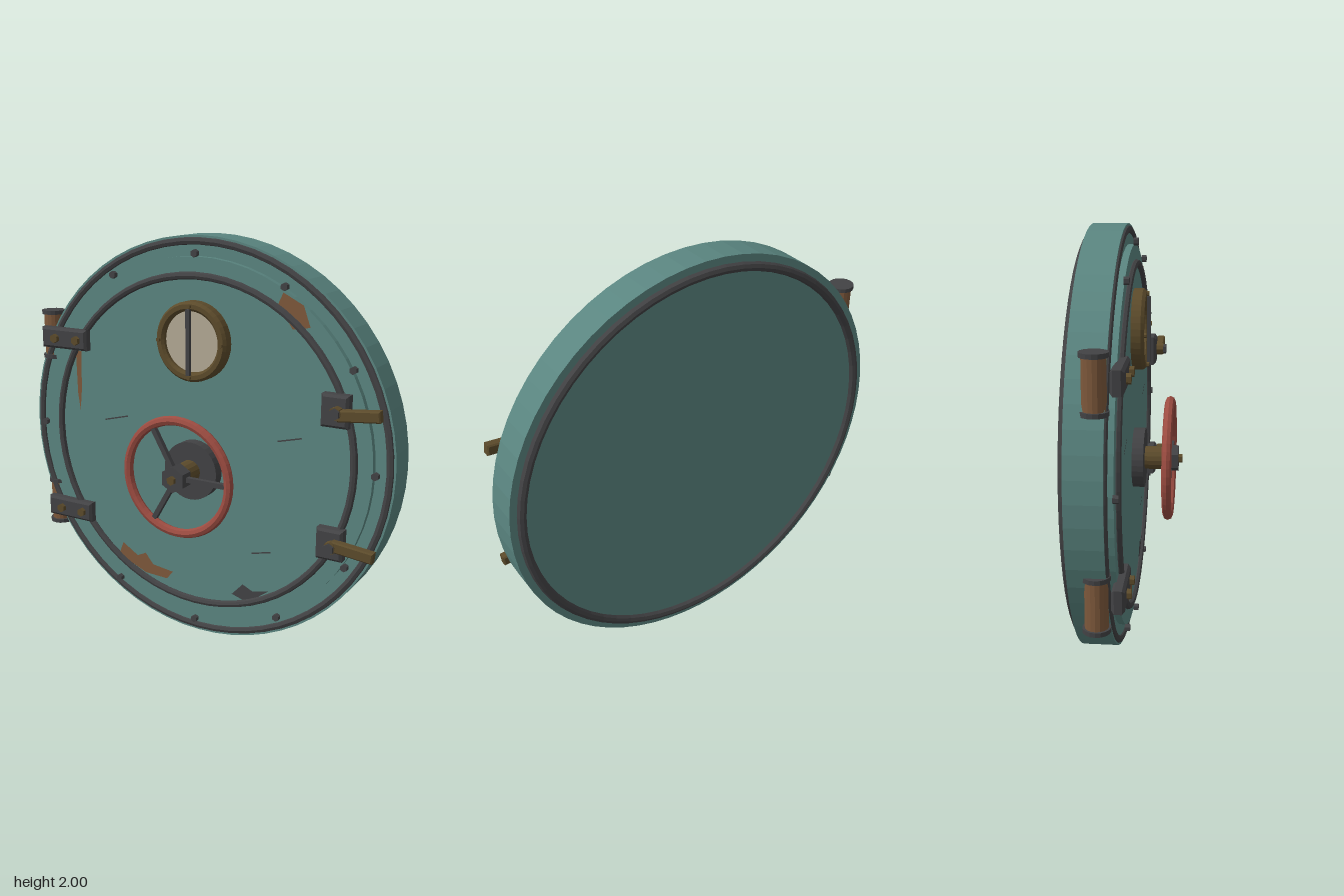
import * as THREE from 'three';

export function createModel() {
  const model = new THREE.Group();
  model.name = 'roundHatchDoor';

  const mat = (name, color, flat = false) => {
    const m = new THREE.MeshStandardMaterial({ color, flatShading: flat });
    m.name = name;
    return m;
  };
  const teal = mat('tealPaint', 0x5a8580, true);
  const iron = mat('darkIron', 0x424244, true);
  const brass = mat('agedBrass', 0x5c4b2b, true);
  const rust = mat('rust', 0x7d583b, true);
  const red = mat('redPaint', 0x9c4c41, true);
  const glass = mat('creamGlass', 0xb3a995, true);

  const add = (name, geo, material, x = 0, y = 0, z = 0, parent = model) => {
    const m = new THREE.Mesh(geo, material);
    m.name = name;
    m.position.set(x, y, z);
    parent.add(m);
    return m;
  };
  // Cylinder lying along z, between z0 and z1
  const disc = (name, r, z0, z1, sides, material, x, y, parent) =>
    add(name, new THREE.CylinderGeometry(r, r, z1 - z0, sides).rotateX(Math.PI / 2),
      material, x, y, (z0 + z1) / 2, parent);
  const ring = (name, r, tube, z, material, y = 1, sides = 8, steps = 64) =>
    add(name, new THREE.TorusGeometry(r, tube, sides, steps), material, 0, y, z);
  // Bevelled plate facing +z, between z0 and z1
  const plate = (name, w, h, z0, z1, material, x, y, bevel = 0.012) => {
    const a = w / 2 - bevel, b = h / 2 - bevel;
    const s = new THREE.Shape();
    s.moveTo(-a, -b).lineTo(a, -b).lineTo(a, b).lineTo(-a, b).closePath();
    const geo = new THREE.ExtrudeGeometry(s, {
      depth: z1 - z0 - 2 * bevel, bevelEnabled: true,
      bevelSize: bevel, bevelThickness: bevel, bevelSegments: 1,
    });
    return add(name, geo, material, x, y, z0 + bevel);
  };

  // Door slab and raised front panel
  const FACE = -0.01;
  disc('doorSlab', 1, -0.2, -0.04, 64, teal, 0, 1);
  disc('frontPanel', 0.905, -0.05, FACE, 64, teal, 0, 1);

  // Gaskets
  ring('frontEdgeGasket', 0.973, 0.02, -0.047, iron);
  ring('panelRing', 0.818, 0.018, -0.006, iron);
  ring('backGasket', 0.945, 0.022, -0.203, iron);

  // Rim rivets
  for (let i = 0; i < 12; i++) {
    const a = (i * Math.PI) / 6;
    disc('rimRivet', 0.018, -0.012, 0.012, 6, iron, 0.92 * Math.cos(a), 1 + 0.92 * Math.sin(a));
  }

  // Porthole
  const PY = 1.515;
  const rim = [[0.145, -0.01], [0.19, -0.01], [0.19, 0.035], [0.178, 0.05],
    [0.157, 0.05], [0.145, 0.038], [0.145, -0.01]].map(([r, h]) => new THREE.Vector2(r, h));
  add('portholeRim', new THREE.LatheGeometry(rim, 40).rotateX(Math.PI / 2), brass, 0, PY, 0);
  disc('portholeGlass', 0.148, FACE, 0.022, 40, glass, 0, PY);
  add('portholeBar', new THREE.BoxGeometry(0.02, 0.31, 0.018), iron, 0, PY, 0.06);
  for (let i = 0; i < 4; i++) {
    const a = (i * Math.PI) / 2;
    disc('portholeBolt', 0.011, 0.045, 0.062, 6, brass, 0.168 * Math.cos(a), PY + 0.168 * Math.sin(a));
  }

  // Handwheel
  const WY = 0.885;
  disc('wheelBasePlate', 0.145, FACE, 0.045, 32, iron, 0, WY);
  disc('wheelShaft', 0.056, 0.04, 0.15, 16, brass, 0, WY);
  disc('wheelHub', 0.065, 0.135, 0.207, 6, iron, 0, WY);
  disc('wheelHubBolt', 0.022, 0.2, 0.225, 6, brass, 0, WY);
  ring('wheelRim', 0.278, 0.023, 0.162, red, WY, 8, 48);
  for (let i = 0; i < 3; i++) {
    const a = (i * Math.PI * 2) / 3;
    const spoke = add('wheelSpoke', new THREE.BoxGeometry(0.22, 0.024, 0.024), iron,
      0.155 * Math.cos(a), WY + 0.155 * Math.sin(a), 0.162);
    spoke.rotation.z = a;
  }

  // Hinges and latches, upper and lower
  for (const [hy, ly, tilt] of [[1.46, 1.278, 0.1], [0.543, 0.653, -0.1]]) {
    add('hingeBarrel', new THREE.CylinderGeometry(0.05, 0.05, 0.23, 16), rust, -0.906, hy, -0.083);
    for (const s of [-1, 1]) {
      add('hingeCap', new THREE.CylinderGeometry(0.06, 0.06, 0.02, 16), iron, -0.906, hy + s * 0.115, -0.083);
    }
    plate('hingeArm', 0.28, 0.105, -0.025, 0.032, iron, -0.76, hy);
    for (const x of [-0.807, -0.674]) disc('hingeBolt', 0.023, 0.03, 0.052, 6, brass, x, hy);

    plate('latchBlock', 0.13, 0.15, -0.015, 0.048, iron, 0.732, ly);
    disc('latchPivot', 0.03, 0.04, 0.085, 8, brass, 0.75, ly);
    disc('latchPivotCap', 0.027, 0.082, 0.1, 6, iron, 0.75, ly);
    const handle = plate('latchHandle', 0.2, 0.052, 0.038, 0.082, brass, 0.855, ly, 0.006);
    handle.rotation.z = tilt;
  }

  // Worn paint patches and scratches, as thin faces on the panel
  const patch = (name, pts, material) => {
    const s = new THREE.Shape(pts.map(([x, y]) => new THREE.Vector2(x, y)));
    add(name, new THREE.ShapeGeometry(s), material, 0, 0, FACE + 0.004);
  };
  patch('upperRustPatch', [[0.45, 1.77], [0.55, 1.72], [0.585, 1.625], [0.5, 1.61], [0.455, 1.675], [0.41, 1.685]], rust);
  patch('hingeRustStreak', [[-0.71, 1.4], [-0.675, 1.4], [-0.68, 1.2], [-0.692, 1.09], [-0.705, 1.18]], rust);
  patch('lowerRustPatch', [[-0.44, 0.405], [-0.35, 0.35], [-0.3, 0.375], [-0.255, 0.32], [-0.135, 0.305],
    [-0.17, 0.26], [-0.3, 0.265], [-0.42, 0.315], [-0.465, 0.34]], rust);
  patch('barePatch', [[0.21, 0.265], [0.27, 0.33], [0.325, 0.305], [0.41, 0.325], [0.33, 0.265], [0.28, 0.245]], iron);
  for (const [x, y, len] of [[-0.465, 1.078, 0.145], [0.5, 1.103, 0.125], [0.367, 0.518, 0.105]]) {
    const scratch = add('scratch', new THREE.PlaneGeometry(len, 0.007), iron, x, y, FACE + 0.004);
    scratch.rotation.z = 0.25;
  }

  return model;
}
